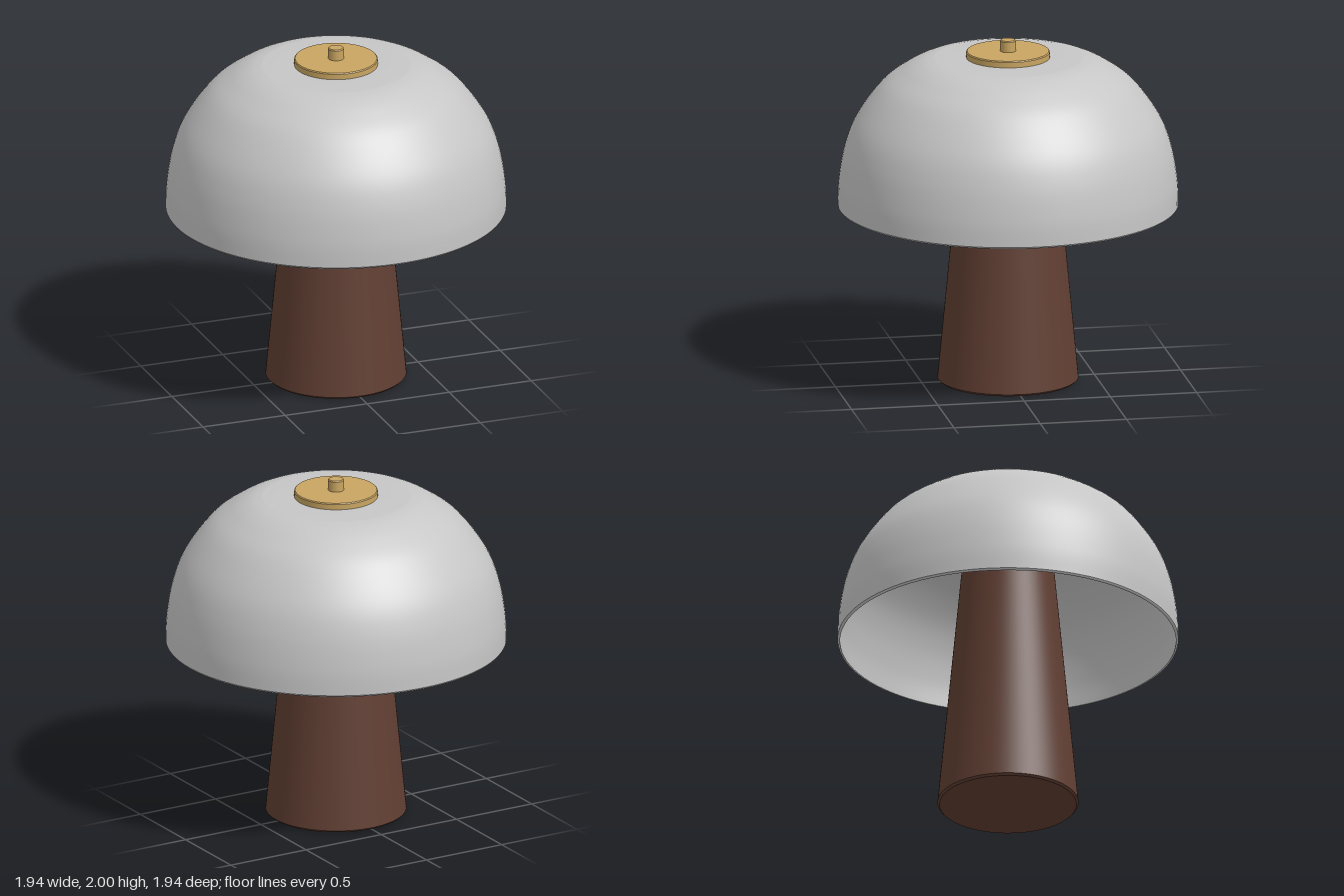
import * as THREE from 'three';

const material = (name, color) => {
  const m = new THREE.MeshStandardMaterial({ color });
  m.name = name;
  return m;
};

// Turn a list of [radius, height] points; hard edges come from separate strips
function lathe(name, strips, mat, parent) {
  const part = new THREE.Group();
  part.name = name;
  for (const strip of strips) {
    const pts = strip.map((p) => (p.isVector2 ? p : new THREE.Vector2(p[0], p[1])));
    const mesh = new THREE.Mesh(new THREE.LatheGeometry(pts, 96), mat);
    mesh.name = name + 'Surface';
    part.add(mesh);
  }
  parent.add(part);
}

export function createModel() {
  const lamp = new THREE.Group();
  lamp.name = 'tableLamp';

  const shadeGrey = material('shade grey', 0xc6c6c6);
  const walnut = material('walnut brown', 0x613f33);
  const brass = material('brass', 0xc9a562);

  // Tapered wooden stem with a small bevel at the foot
  lathe('stem', [
    [[0, 0], [0.39, 0]],
    [[0.39, 0], [0.402, 0.012]],
    [[0.402, 0.012], [0.225, 1.875]],
  ], walnut, lamp);

  // Domed shade: outer skin, thin rim and inner skin
  const dome = new THREE.SplineCurve([
    [0.972, 1.035], [0.966, 1.18], [0.932, 1.37], [0.865, 1.54], [0.73, 1.725],
    [0.6, 1.825], [0.5, 1.875], [0.42, 1.893],
  ].map(([r, y]) => new THREE.Vector2(r, y))).getPoints(40);
  const outer = [...dome, new THREE.Vector2(0.3, 1.897), new THREE.Vector2(0, 1.897)];
  const inner = outer.map((p) => new THREE.Vector2(p.x * 0.985, p.y - 0.012)).reverse();
  inner[inner.length - 1].y = 1.026;
  lathe('shade', [
    outer,
    [[inner[inner.length - 1].x, 1.026], [0.967, 1.026], [0.972, 1.035]],
    inner,
  ], shadeGrey, lamp);

  // Brass cap disc
  lathe('cap', [
    [[0, 1.897], [0.238, 1.897]],
    [[0.238, 1.897], [0.238, 1.929]],
    [[0.238, 1.929], [0.233, 1.935]],
    [[0.233, 1.935], [0, 1.935]],
  ], brass, lamp);

  // Small brass knob
  lathe('knob', [
    [[0.045, 1.93], [0.045, 1.994]],
    [[0.045, 1.994], [0.04, 2]],
    [[0.04, 2], [0, 2]],
  ], brass, lamp);

  return lamp;
}
